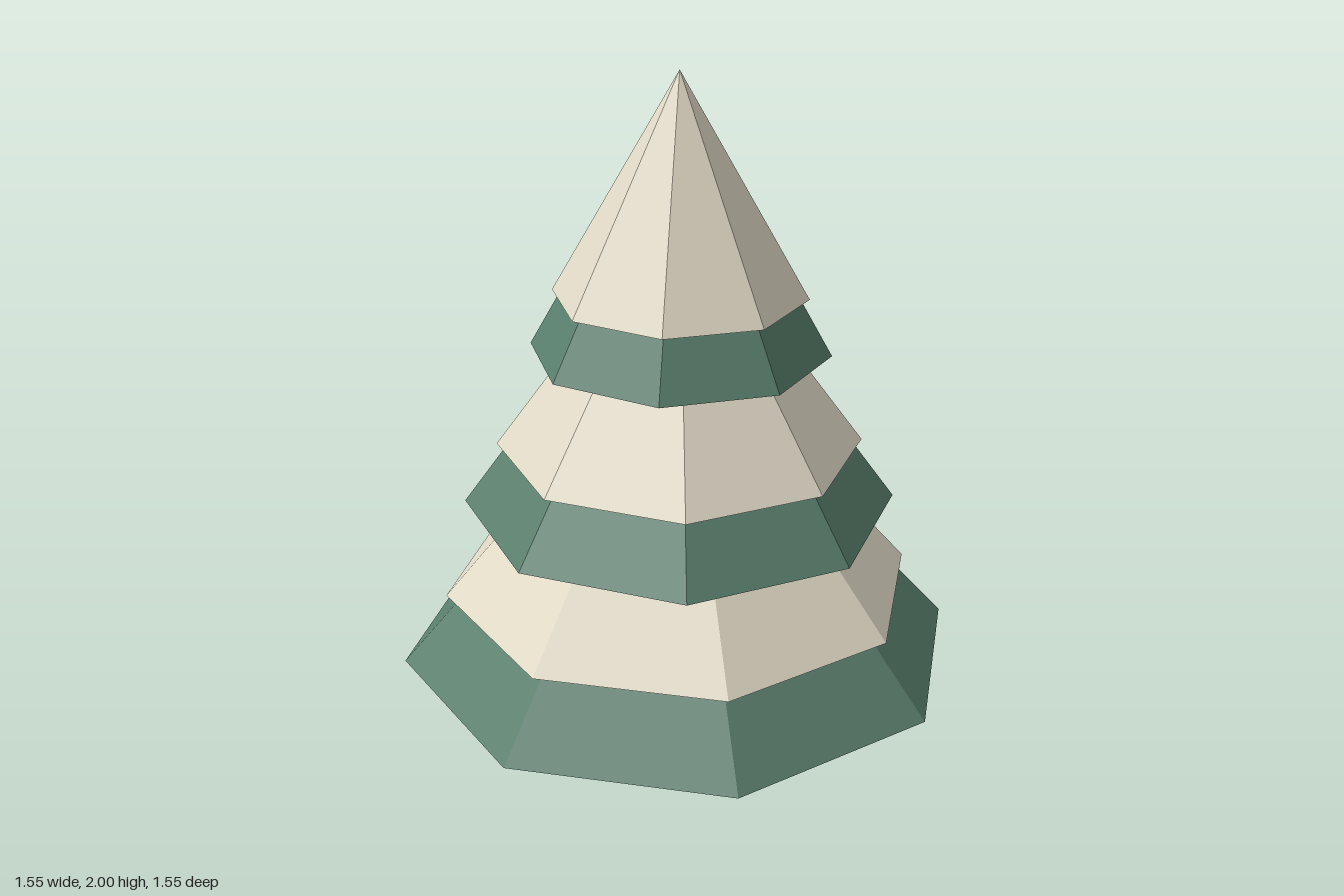
import * as THREE from 'three';

const material = (name, color) => {
  const m = new THREE.MeshStandardMaterial({ color });
  m.name = name;
  return m;
};

// Faceted, closed cone or tapered post standing on y
function facetedPart(name, mat, rTop, rBottom, y, height, sides, turn) {
  const geo = new THREE.CylinderGeometry(rTop, rBottom, height, sides).toNonIndexed();
  geo.computeVertexNormals();
  const mesh = new THREE.Mesh(geo, mat);
  mesh.name = name;
  mesh.position.y = y + height / 2;
  mesh.rotation.y = turn;
  return mesh;
}

export function createModel() {
  const green = material('needle green', 0x5a7f6d);
  const snow = material('snow cream', 0xe0d9c6);
  const bark = material('bark brown', 0x8f7058);

  const tree = new THREE.Group();
  tree.name = 'snowyTree';

  // Seven-sided tapered trunk
  tree.add(facetedPart('trunk', bark, 0.112, 0.138, 0, 0.45, 7, Math.PI / 2));

  // Each tier: green skirt with a slightly wider snow cap over it
  const tiers = [
    { name: 'lower', r: 0.775, y: 0.4, apex: 1.27, capR: 0.65, capY: 0.595, capApex: 1.34, turn: 0 },
    { name: 'middle', r: 0.587, y: 0.835, apex: 1.635, capR: 0.493, capY: 1.005, capApex: 1.67, turn: -0.155 },
    { name: 'top', r: 0.4, y: 1.27, apex: 1.97, capR: 0.337, capY: 1.422, capApex: 2, turn: -0.31 },
  ];
  for (const t of tiers) {
    const tier = new THREE.Group();
    tier.name = t.name + 'Tier';
    tier.add(
      facetedPart(t.name + 'Branches', green, 0, t.r, t.y, t.apex - t.y, 8, t.turn),
      facetedPart(t.name + 'SnowCap', snow, 0, t.capR, t.capY, t.capApex - t.capY, 8, t.turn),
    );
    tree.add(tier);
  }
  return tree;
}
